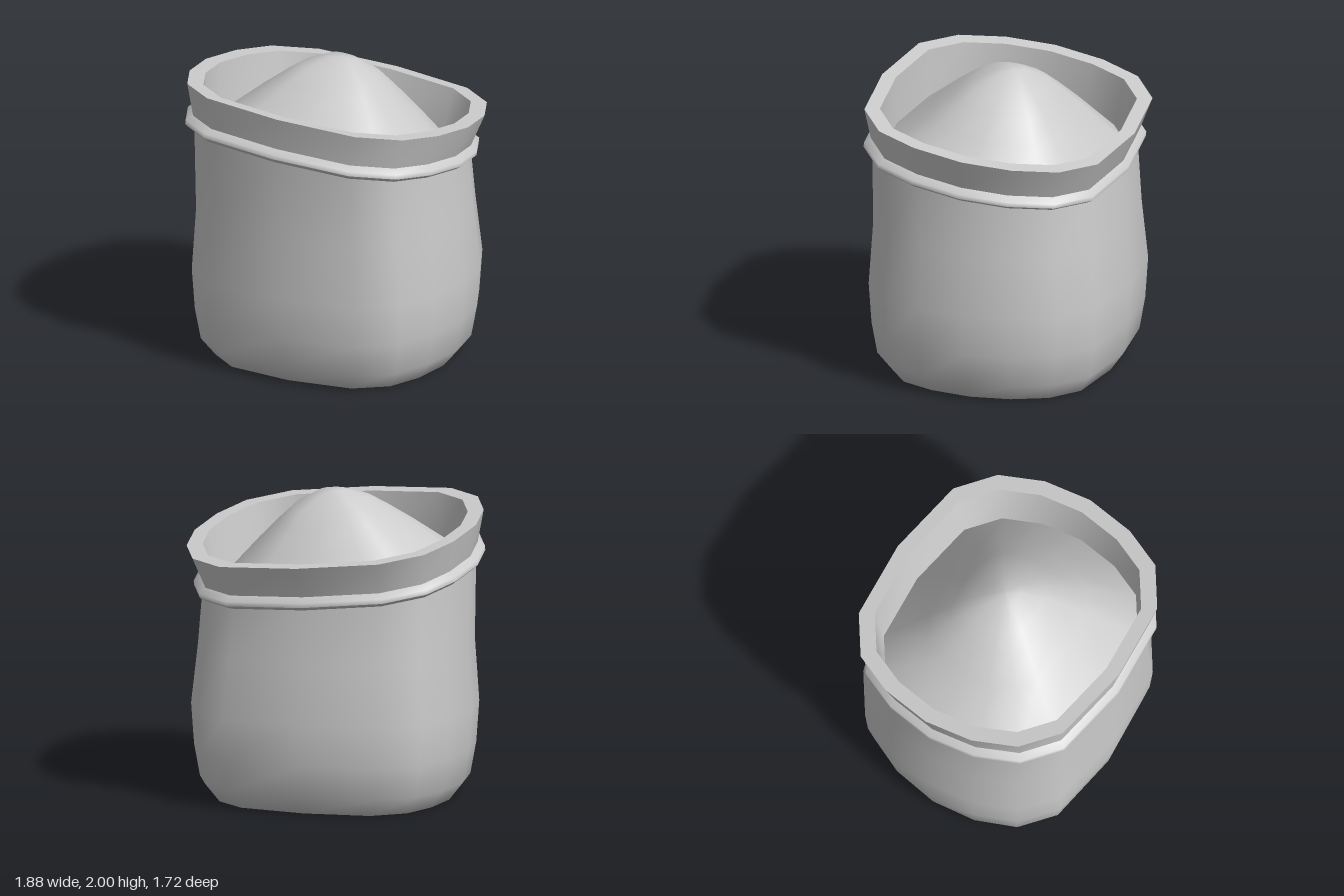
import * as THREE from 'three';

// Half of the rounded-square plan (x, z); the other half is its 180 degree turn.
const HALF = [
  [0.94, -0.1], [0.93, 0.24], [0.845, 0.525], [0.615, 0.735],
  [0.09, 0.85], [-0.45, 0.84], [-0.705, 0.68], [-0.86, 0.415],
];
const PLAN = [...HALF, ...HALF.map(([x, z]) => [-x, -z])];
const N = PLAN.length;

// The mouth leans: height changes by these slopes along x and z.
const TILT_X = -0.065, TILT_Z = 0.127, RIM_Y = 1.738;

// Each ring is [plan scale, height, amount of tilt (0 to 1)].
function loft(name, rings, material) {
  const positions = [], index = [];
  for (const [scale, y, tilt = 1] of rings) {
    for (const [px, pz] of PLAN) {
      const x = px * scale, z = pz * scale;
      // Lower rings of the leaning parts slide along the tilted axis.
      const slide = (RIM_Y - y) * tilt;
      positions.push(
        x + slide * TILT_X,
        y + tilt * (TILT_X * x + TILT_Z * z),
        z + slide * TILT_Z,
      );
    }
  }
  for (let r = 0; r < rings.length - 1; r++) {
    for (let i = 0; i < N; i++) {
      const a = r * N + i, b = r * N + (i + 1) % N;
      if (rings[r][0] > 0) index.push(a, a + N, b);
      if (rings[r + 1][0] > 0) index.push(b, a + N, b + N);
    }
  }
  const geometry = new THREE.BufferGeometry();
  geometry.setAttribute('position', new THREE.Float32BufferAttribute(positions, 3));
  geometry.setIndex(index);
  geometry.computeVertexNormals();
  const mesh = new THREE.Mesh(geometry, material);
  mesh.name = name;
  return mesh;
}

export function createModel() {
  const group = new THREE.Group();
  group.name = 'filledSack';
  const material = new THREE.MeshStandardMaterial({ color: 0xcccccc, side: THREE.DoubleSide });
  const add = (name, rings) => group.add(loft(name, rings, material));

  // Bulging sack with a closed, flat base
  add('body', [
    [0, 0, 0], [0.81, 0, 0], [0.91, 0.12, 0], [0.95, 0.33, 0],
    [0.97, 0.6, 0], [0.932, 1.0, 0.1], [0.92, 1.48, 1],
  ]);

  // Cord tied around the neck
  add('cordUnderside', [[0.9, 1.455], [0.945, 1.445], [0.98, 1.47]]);
  add('cord', [[0.98, 1.47], [0.98, 1.5], [0.92, 1.535]]);

  // Flared collar: outside, top edge and inside
  add('collarOutside', [[0.935, 1.53], [1, RIM_Y]]);
  add('collarEdge', [[1, RIM_Y], [0.892, RIM_Y]]);
  add('collarInside', [[0.892, RIM_Y], [0.85, 1.42]]);

  // Heaped contents
  add('contents', [
    [0.85, 1.42], [0.54, 1.69], [0.38, 1.82], [0.26, 1.91], [0.1, 1.983], [0, 1.99],
  ]);
  return group;
}
